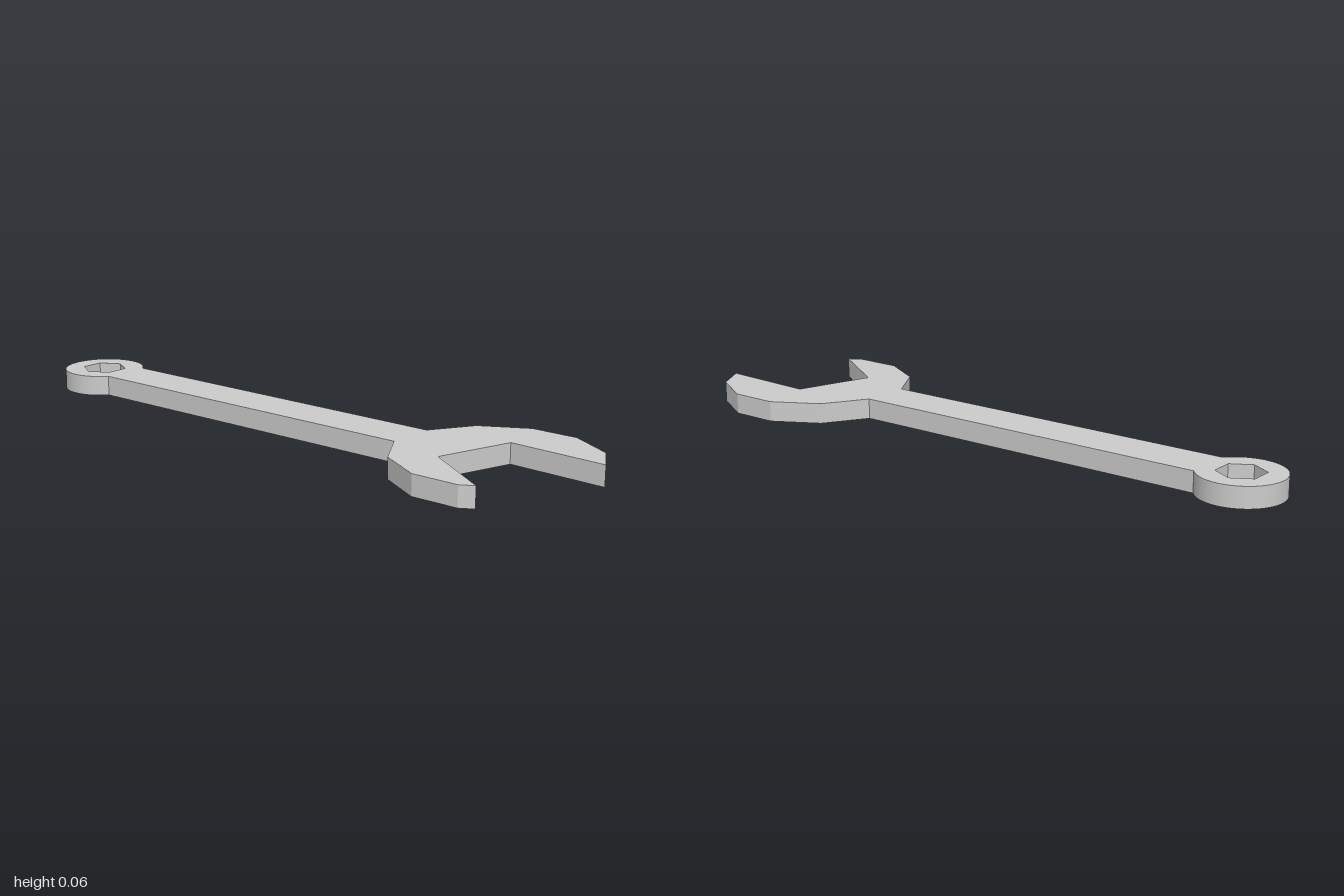
import * as THREE from 'three';
import { toCreasedNormals } from 'three/addons/utils/BufferGeometryUtils.js';

const THICKNESS = 0.064;
const HANDLE_HALF = 0.078;
const RING = { z: -0.87, radius: 0.13, hex: 0.072 };

// Open jaw outline as [x, z], from the handle's left edge round to its right edge.
const JAW = [
  [-HANDLE_HALF, 0.426], [-0.214, 0.508], [-0.294, 0.65], [-0.294, 0.8], [-0.27, 0.84],
  [-0.12, 0.61], [0.127, 0.685], [0.112, 1.0],
  [0.214, 0.94], [0.294, 0.8], [0.294, 0.65], [0.214, 0.508], [HANDLE_HALF, 0.426],
];

export function createModel() {
  const group = new THREE.Group();
  group.name = 'wrench';

  // Jaw and handle, closed by the round ring end (shape y is -z)
  const outline = new THREE.Shape();
  JAW.forEach(([x, z], i) => (i ? outline.lineTo(x, -z) : outline.moveTo(x, -z)));
  const join = Math.acos(HANDLE_HALF / RING.radius);
  outline.absarc(0, -RING.z, RING.radius, -join, Math.PI + join, false);
  outline.closePath();

  // Hexagonal hole through the ring
  const hexagon = [];
  for (let i = 0; i < 6; i++) {
    const a = (-i * Math.PI) / 3;
    hexagon.push(new THREE.Vector2(RING.hex * Math.cos(a), RING.hex * Math.sin(a) - RING.z));
  }
  outline.holes.push(new THREE.Path(hexagon));

  // Lay the extrusion flat, keeping the ring smooth and all other edges sharp
  const extrusion = new THREE.ExtrudeGeometry(outline, {
    depth: THICKNESS, bevelEnabled: false, curveSegments: 64,
  });
  extrusion.rotateX(-Math.PI / 2);

  const body = new THREE.Mesh(
    toCreasedNormals(extrusion, 0.3),
    new THREE.MeshStandardMaterial({ color: 0xcccccc }),
  );
  body.name = 'wrenchBody';
  group.add(body);
  return group;
}
